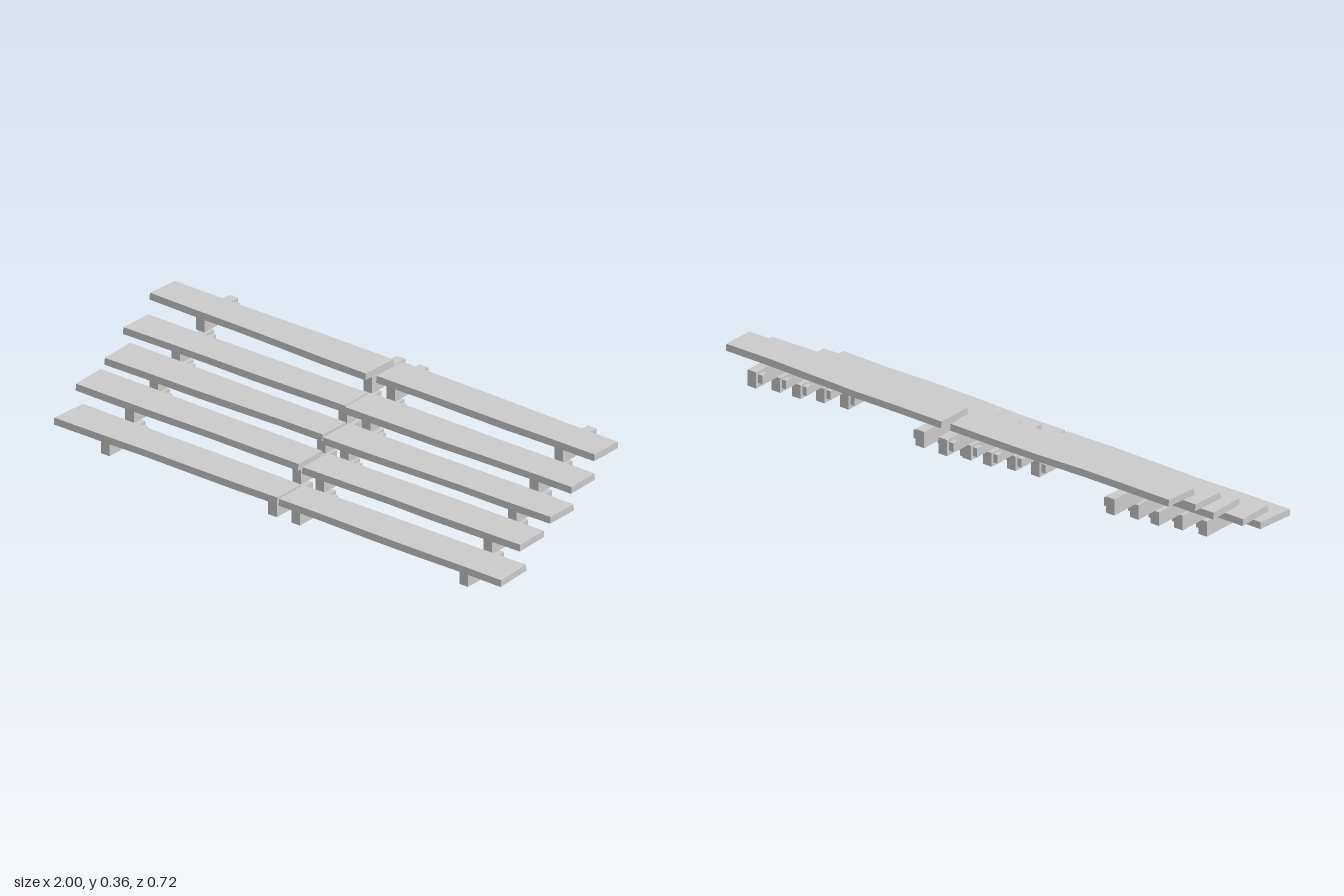
import * as THREE from 'three';

const material = new THREE.MeshStandardMaterial({ color: 0xcccccc, flatShading: true });

// One entry per step, bottom to top.
// support: [y0, y1, zBack, zFront]; planks: [xBack, xFront (left end), xBack, xFront (right end),
// zBack at both ends, zFront at both ends]
const steps = [
  { support: [0, 0.058, 0.142, 0.34], planks: [
    [-0.97, -0.98, 0, 0, 0.212, 0.22, 0.36, 0.352],
    [0.01, 0.01, 0.985, 0.995, 0.218, 0.208, 0.355, 0.358]] },
  { support: [0.074, 0.13, 0.01, 0.207], planks: [
    [-1, -0.995, -0.015, -0.015, 0.078, 0.085, 0.222, 0.218],
    [0.01, 0.01, 0.96, 0.965, 0.086, 0.08, 0.227, 0.217]] },
  { support: [0.14, 0.192, -0.12, 0.074], planks: [
    [-0.97, -0.965, -0.01, -0.015, -0.045, -0.04, 0.102, 0.086],
    [0, 0, 0.99, 0.99, -0.042, -0.046, 0.102, 0.082]] },
  { support: [0.206, 0.262, -0.232, -0.045], planks: [
    [-0.97, -0.975, -0.01, -0.005, -0.145, -0.155, -0.012, -0.025],
    [0, 0, 0.985, 0.99, -0.162, -0.167, -0.018, -0.033]] },
  { support: [0.272, 0.334, -0.363, -0.18], planks: [
    [-0.97, -0.98, -0.01, -0.015, -0.29, -0.297, -0.163, -0.15],
    [0.025, 0.025, 0.985, 0.985, -0.304, -0.294, -0.16, -0.165]] },
];
const plankThickness = 0.025;

function addBox(parent, name, size, position) {
  const mesh = new THREE.Mesh(new THREE.BoxGeometry(...size), material);
  mesh.name = name;
  mesh.position.set(...position);
  parent.add(mesh);
}

// Hand-cut board: a segmented box with skewed ends and gently wavy long edges
function plankGeometry([xb0, xf0, xb1, xf1, zb0, zb1, zf0, zf1], y, seed) {
  const { lerp } = THREE.MathUtils;
  const geometry = new THREE.BoxGeometry(1, 1, 1, 5, 1, 1);
  const p = geometry.attributes.position;
  for (let i = 0; i < p.count; i++) {
    const u = p.getX(i) + 0.5, v = p.getY(i) + 0.5, w = p.getZ(i) + 0.5;
    const wave = 0.004 * Math.sin(u * 7 + seed * 2.3 + w * 2) * Math.sin(Math.PI * u);
    const x = lerp(lerp(xb0, xf0, w), lerp(xb1, xf1, w), u);
    const z = lerp(lerp(zb0, zb1, u), lerp(zf0, zf1, u), w) + wave;
    const bevel = (w - 0.5) * 0.006 * (0.5 - v);
    p.setXYZ(i, x, y + v * plankThickness + v * wave * 0.3, z + bevel);
  }
  geometry.computeVertexNormals();
  return geometry;
}

export function createModel() {
  const model = new THREE.Group();
  model.name = 'woodenSteps';
  // Support centre and the side its peg sticks out on
  const supports = [[-0.77, 1], [-0.03, -1], [0.072, 1], [0.815, -1]];

  steps.forEach(({ support: [y0, y1, zBack, zFront], planks }, row) => {
    const step = new THREE.Group();
    step.name = `step${row + 1}`;
    // Treads, one on each side of the centre gap
    planks.forEach((plank, side) => {
      const mesh = new THREE.Mesh(plankGeometry(plank, y1, row * 2 + side), material);
      mesh.name = side ? 'leftPlank' : 'rightPlank';
      step.add(mesh);
    });
    // Supports under the treads, each with a small peg near the back
    for (const [x, dir] of supports) {
      addBox(step, 'support', [0.038, y1 - y0, zFront - zBack], [x, (y0 + y1) / 2, (zFront + zBack) / 2]);
      addBox(step, 'peg', [0.02, 0.033, 0.028], [x + dir * 0.027, (y0 + y1) / 2 + 0.003, zBack + 0.025]);
    }
    model.add(step);
  });
  return model;
}
